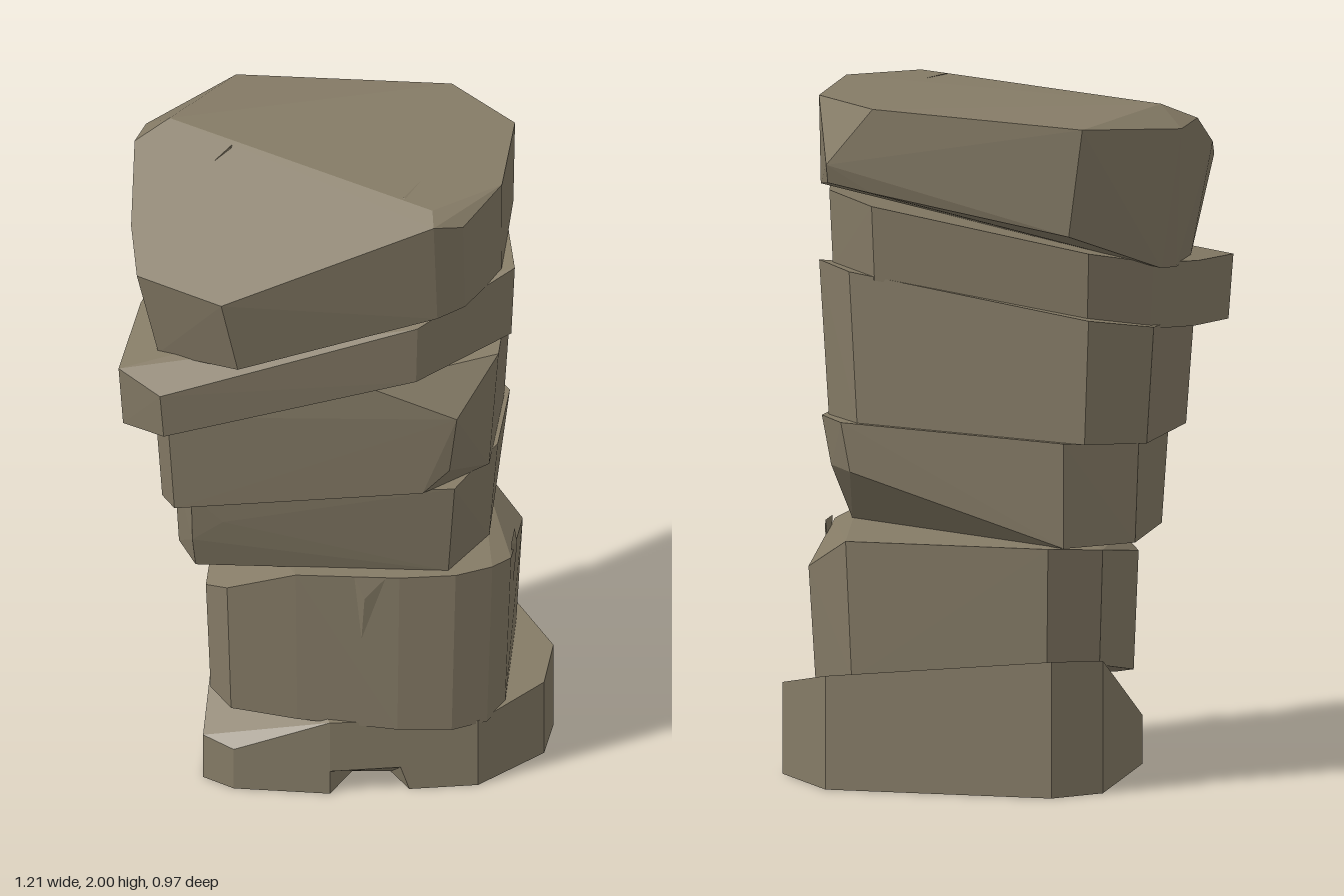
import * as THREE from 'three';
import { ConvexGeometry } from 'three/addons/geometries/ConvexGeometry.js';

// Double sided because the foot of the stack is an open shell
const stone = new THREE.MeshStandardMaterial({ color: 0x857b66, side: THREE.DoubleSide });
stone.name = 'stone';
const V = (x, y, z) => new THREE.Vector3(x, y, z);
const plane = (a, b, c) => (x, z) => a + b * x + c * z;

function part(name, geometry) {
  const mesh = new THREE.Mesh(geometry, stone);
  mesh.name = name;
  return mesh;
}

// Unindexed triangles with flat normals
function facets(points) {
  const geometry = new THREE.BufferGeometry().setFromPoints(points);
  geometry.computeVertexNormals();
  return geometry;
}

// Faceted slab: corners are [x, z, top corner cut, bottom corner cut];
// taper is [scaleX, scaleZ, shiftX, shiftZ] of the underside.
function slab(corners, top, bottom, taper = [1, 1, 0, 0], extra = []) {
  const [sx, sz, dx, dz] = taper;
  const points = extra.map((p) => V(...p));
  for (const [x, z, drop = 0, lift = 0] of corners) {
    const bx = x * sx + dx, bz = z * sz + dz;
    points.push(V(x, top(x, z) - drop, z), V(bx, bottom(bx, bz) + lift, bz));
  }
  return new ConvexGeometry(points);
}

// Removes the flat underside of a hull
function openBelow(geometry, level) {
  const pos = geometry.attributes.position, kept = [];
  for (let i = 0; i < pos.count; i += 3) {
    const tri = [0, 1, 2].map((k) => new THREE.Vector3().fromBufferAttribute(pos, i + k));
    if (tri.some((p) => p.y > level + 0.001)) kept.push(...tri);
  }
  return facets(kept);
}

export function createModel() {
  const g = new THREE.Group();
  g.name = 'rockStack';

  // Sloping joints between the slabs
  const joint1 = plane(0.285, -0.1, -0.2);
  const joint2 = () => 0.73;
  const joint3 = plane(1.03, 0.056, -0.052);
  const joint4 = plane(1.41, 0.165, -0.083);
  const joint5 = plane(1.618, 0.19, -0.087);
  const raise = (f, d) => (x, z) => f(x, z) + d;
  const roof = (x, z) => 2 - 0.49 * Math.max(0, -0.46 * (x + 0.51) + 0.89 * (z + 0.17));

  // Foot slab, hollow and open below
  const lip = 0.075;
  const foot = [[0.6, -0.22], [0.59, -0.06], [0.42, 0.14], [0, 0.235], [-0.28, 0.235, 0.135],
    [-0.375, 0.18, 0.145], [-0.375, -0.33], [-0.25, -0.45], [0.42, -0.45]];
  g.add(part('footSlab', openBelow(slab(foot, joint1, () => lip), lip)));

  // Skirt down to the ground: [top x, top z, bottom x, bottom z], scooped at the front
  const skirt = foot.map(([x, z]) => [x, z, x, z]);
  skirt.splice(3, 0, [0.225, 0.184, 0.225, 0.184], [0.2, 0.19, 0.16, 0.09], [0.04, 0.226, 0.05, 0.1]);
  const wall = [];
  skirt.forEach(([ax, az, bx, bz], i) => {
    const [cx, cz, dx, dz] = skirt[(i + 1) % skirt.length];
    const a = V(ax, lip, az), b = V(bx, 0, bz), c = V(cx, lip, cz), d = V(dx, 0, dz);
    wall.push(a, c, b, b, c, d);
  });
  g.add(part('footSkirt', facets(wall)));

  // Second slab, tall and rounded at the front
  g.add(part('secondSlab', slab([[0.5, -0.32, 0.1], [0.505, 0.04, 0.02], [0.46, 0.13], [0.36, 0.19],
    [0.2, 0.222], [-0.1, 0.237], [-0.3, 0.23, 0.06], [-0.37, 0.15, 0.1], [-0.37, -0.31, 0.02],
    [-0.24, -0.45], [0.36, -0.45]],
  joint2, raise(joint1, -0.01), [0.965, 0.95, 0, 0])));

  // Third slab, undercut at front left and back right
  g.add(part('thirdSlab', slab([[0.465, -0.3, 0, 0.2], [0.46, -0.02], [0.36, 0.22], [-0.4, 0.265],
    [-0.465, 0.12], [-0.465, -0.26], [-0.28, -0.425], [0.38, -0.425, 0, 0.2]],
  joint3, () => 0.728, [0.96, 0.9, -0.01, -0.035], [[-0.31, 0.9, 0.245], [-0.4, 0.83, 0.235]])));

  // Fourth slab, with a sloping cut at its front right corner
  g.add(part('fourthSlab', slab([[0.48, -0.27], [0.475, 0.1, 0.06], [0.37, 0.25, 0.17, 0.07],
    [-0.46, 0.35, 0.01], [-0.505, 0.28], [-0.505, -0.24], [-0.35, -0.405], [0.36, -0.405]],
  raise(joint4, 0.01), joint3, [0.95, 0.97, -0.005, -0.01], [[0.1, 1.405, 0.28], [0.27, 1.033, 0.245]])));

  // Fifth slab, thin and overhanging, set back from the rear edge of the fourth
  g.add(part('fifthSlab', slab([[0.52, 0.08], [0.26, 0.29, 0.03], [-0.47, 0.46, 0.05], [-0.6, 0.37],
    [-0.57, 0.05], [-0.5, -0.22], [-0.34, -0.36], [0.29, -0.42], [0.45, -0.27]],
  joint5, joint4, [0.98, 0.97, 0, 0])));

  // Cap slab, its top falling away to the front left
  g.add(part('capSlab', slab([[-0.605, -0.11], [-0.585, -0.23, 0.06], [-0.35, -0.485, 0.03, 0.06],
    [0.28, -0.45, 0, 0.05], [0.42, -0.44, 0.17, 0.05], [0.485, -0.25, 0, 0.02], [0.485, 0.1],
    [0.39, 0.27, 0.05], [0.31, 0.32], [-0.29, 0.48], [-0.55, 0.34], [-0.585, 0.17]],
  roof, raise(joint5, -0.01), [0.94, 0.92, 0.025, -0.015], [[-0.51, 2, -0.17], [0.3, 1.995, 0.26]])));

  // Chipped slivers: three corners on the surface and a slightly raised fourth
  const slivers = [
    ['topChip', [-0.37, 1.957, 0], [-0.27, 2, -0.18], [-0.3, 1.968, -0.05], [-0.32, 1.992, -0.04]],
    ['topChip', [0.27, 1.999, 0.05], [0.19, 1.957, 0.29], [0.24, 1.985, 0.23], [0.21, 1.998, 0.2]],
    ['frontChip', [0.07, 0.728, 0.229], [0.16, 0.728, 0.225], [0.09, 0.52, 0.223], [0.1, 0.66, 0.235]],
    ['sideChip', [0.5, 0.728, -0.01], [0.5, 0.728, -0.1], [0.5, 0.57, -0.06], [0.512, 0.7, -0.06]],
  ];
  for (const [name, ...pts] of slivers) g.add(part(name, new ConvexGeometry(pts.map((p) => V(...p)))));

  return g;
}
